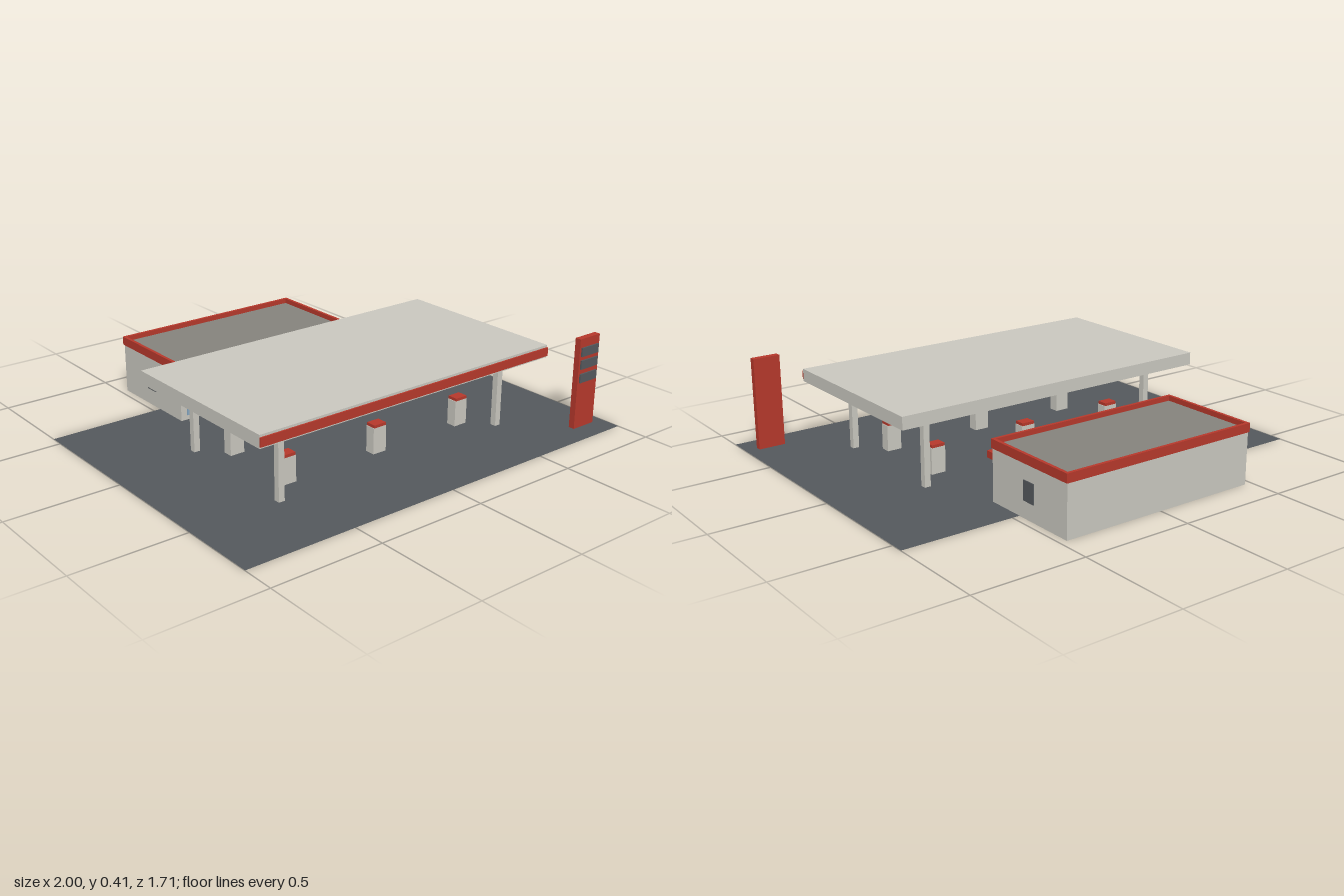
import * as THREE from 'three';

const mat = (name, color, side = THREE.FrontSide) => {
  const m = new THREE.MeshStandardMaterial({ color, side });
  m.name = name;
  return m;
};

export function createModel() {
  const root = new THREE.Group();
  root.name = 'fillingStation';
  const wall = mat('paleWall', 0xc8c6be, THREE.DoubleSide);
  const red = mat('redTrim', 0xb5382b);
  const asphalt = mat('asphalt', 0x54585c, THREE.DoubleSide);
  const glass = mat('shopGlass', 0x86a7c1);
  const roofGrey = mat('roofGrey', 0x84827c, THREE.DoubleSide);

  // Box given by its min and max on each axis
  const box = (name, m, [x0, x1], [y0, y1], [z0, z1], parent = root) => {
    const mesh = new THREE.Mesh(new THREE.BoxGeometry(x1 - x0, y1 - y0, z1 - z0), m);
    mesh.position.set((x0 + x1) / 2, (y0 + y1) / 2, (z0 + z1) / 2);
    mesh.name = name;
    parent.add(mesh);
    return mesh;
  };
  const sheet = (name, m, w, d, y, z, parent = root) => {
    const mesh = new THREE.Mesh(new THREE.PlaneGeometry(w, d).rotateX(-Math.PI / 2), m);
    mesh.position.set(0, y, z);
    mesh.name = name;
    parent.add(mesh);
  };

  // Forecourt
  sheet('forecourt', asphalt, 2, 1.41, 0.001, 0.147);

  // Shop: open-bottomed walls, sunken roof and raised parapet
  const shop = new THREE.Group();
  shop.name = 'shop';
  root.add(shop);
  const zBack = -0.85, zFront = -0.382, zMid = (zBack + zFront) / 2;
  const shell = (name, w, d, y0, y1, m) => {
    const s = new THREE.Shape([[-w, -d], [w, -d], [w, d], [-w, d]].map(p => new THREE.Vector2(...p)));
    const i = 0.014;
    s.holes.push(new THREE.Path([[-w + i, -d + i], [-w + i, d - i], [w - i, d - i], [w - i, -d + i]]
      .map(p => new THREE.Vector2(...p))));
    const g = new THREE.ExtrudeGeometry(s, { depth: y1 - y0, bevelEnabled: false }).rotateX(-Math.PI / 2);
    const mesh = new THREE.Mesh(g, m);
    mesh.position.set(0, y0, zMid);
    mesh.name = name;
    shop.add(mesh);
  };
  shell('shopWalls', 0.467, 0.234, 0, 0.228, wall);
  shell('parapet', 0.472, 0.238, 0.228, 0.267, red);
  sheet('shopRoof', roofGrey, 0.92, 0.45, 0.245, zMid, shop);
  box('shopWindow', glass, [-0.437, 0.437], [0.022, 0.182], [zFront, zFront + 0.004], shop);
  box('awning', red, [-0.468, 0.468], [0.178, 0.207], [zFront, -0.345], shop);
  for (const s of [-1, 1]) {
    const x = s * 0.468;
    box('sideWindow', asphalt, [x - 0.003, x + 0.003], [0.075, 0.16], [-0.65, -0.586], shop);
  }

  // Canopy with a red front fascia, on four posts
  box('canopy', wall, [-0.763, 0.763], [0.31, 0.366], [-0.2, 0.62]);
  box('canopyFascia', red, [-0.763, 0.763], [0.318, 0.356], [0.62, 0.627]);
  for (const x of [-0.59, 0.59])
    for (const z of [-0.083, 0.504])
      box('canopyPost', wall, [x - 0.014, x + 0.014], [0.002, 0.31], [z - 0.014, z + 0.014]);

  // Two rows of three pumps with red caps
  for (const x of [-0.472, 0, 0.468])
    for (const z of [0.032, 0.388]) {
      const pump = new THREE.Group();
      pump.name = 'pump';
      pump.position.set(x, 0, z);
      root.add(pump);
      box('pumpBody', wall, [-0.034, 0.034], [0.002, 0.119], [-0.023, 0.023], pump);
      box('pumpCap', red, [-0.031, 0.031], [0.119, 0.132], [-0.024, 0.024], pump);
    }

  // Roadside price sign with three blank panels
  box('priceSign', red, [0.82, 0.943], [0.002, 0.415], [0.726, 0.754]);
  for (const y of [0.235, 0.297, 0.355])
    box('signPanel', asphalt, [0.829, 0.934], [y - 0.02, y + 0.02], [0.754, 0.761]);

  return root;
}
